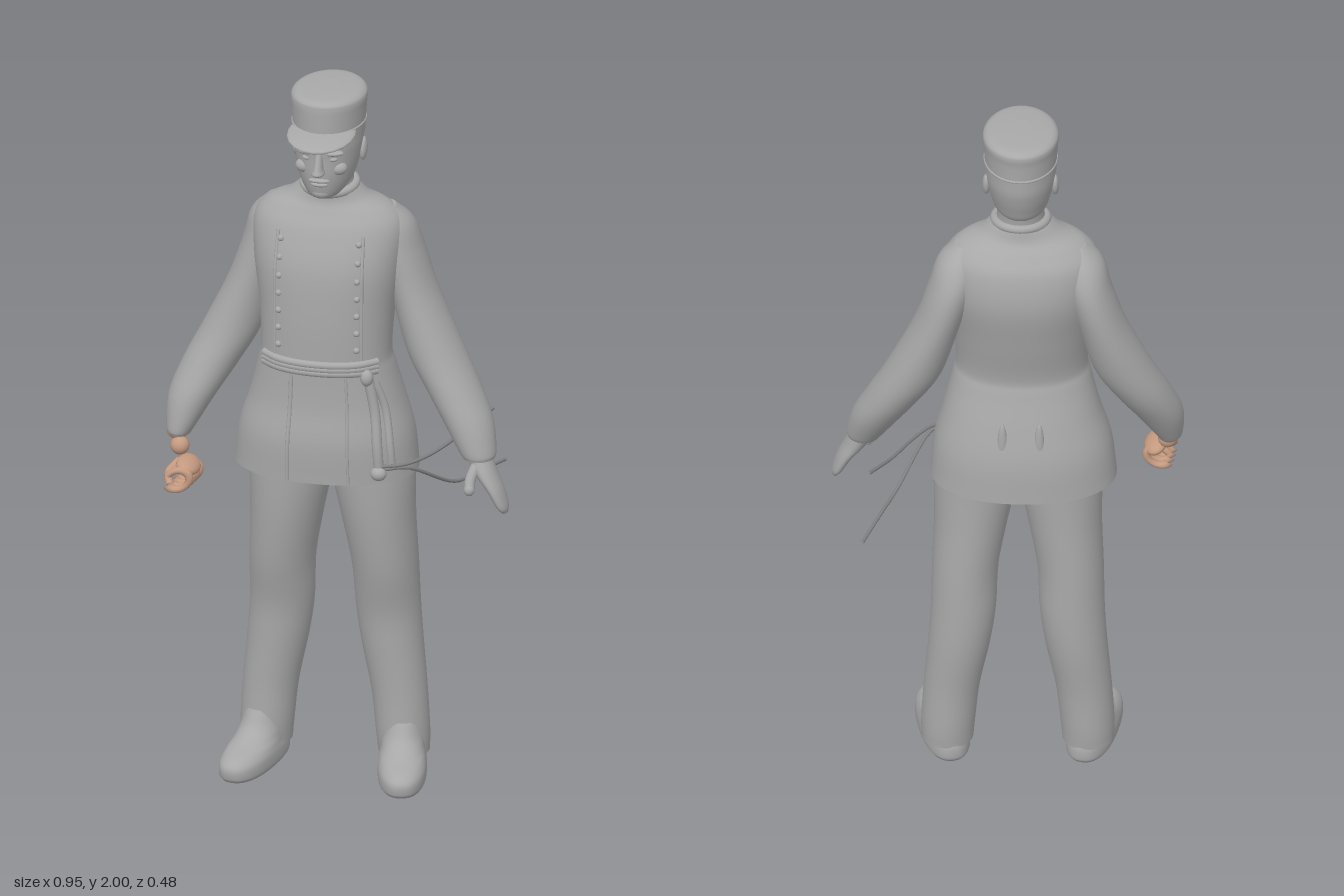
import * as THREE from 'three';

const CX = -0.04; // centre line of the body
const grey = new THREE.MeshStandardMaterial({ color: 0xa8a8a8 });
grey.name = 'uniform grey';
const steel = new THREE.MeshStandardMaterial({ color: 0x808080 });
steel.name = 'dark steel';
const skin = new THREE.MeshStandardMaterial({ color: 0xc49a80 });
skin.name = 'tan';

// Smooth skin over horizontal rings, listed upward: [x, y, z, rx, rz, roundness]
function loft(rings, sides = 40, sub = 5) {
  const smooth = (f) => new THREE.CatmullRomCurve3(rings.map(f), false, 'catmullrom', 0.5);
  const centre = smooth((r) => new THREE.Vector3(r[0], r[1], r[2]));
  const size = smooth((r) => new THREE.Vector3(r[3], r[4], r[5] || 2));
  const n = (rings.length - 1) * sub, pos = [], idx = [];
  const ring = (t) => {
    const c = centre.getPoint(t), s = size.getPoint(t);
    for (let j = 0; j < sides; j++) {
      const a = (j / sides) * Math.PI * 2, e = 2 / s.z;
      const p = (v) => Math.sign(v) * Math.abs(v) ** e;
      pos.push(c.x + s.x * p(Math.cos(a)), c.y, c.z + s.y * p(Math.sin(a)));
    }
    return c;
  };
  for (let i = 0; i <= n; i++) ring(i / n);
  for (let i = 0; i < n; i++) for (let j = 0; j < sides; j++) {
    const k = (j + 1) % sides, a = i * sides + j, b = i * sides + k;
    idx.push(a, a + sides, b, b, a + sides, b + sides);
  }
  for (const t of [0, 1]) { // end caps with their own vertices
    const start = pos.length / 3, c = ring(t), mid = pos.length / 3;
    pos.push(c.x, c.y, c.z);
    for (let j = 0; j < sides; j++) {
      const a = start + j, b = start + ((j + 1) % sides);
      if (t) idx.push(mid, b, a); else idx.push(mid, a, b);
    }
  }
  const g = new THREE.BufferGeometry();
  g.setAttribute('position', new THREE.Float32BufferAttribute(pos, 3));
  g.setIndex(idx);
  g.computeVertexNormals();
  return g;
}

const torsoRings = [
  [CX - 0.005, 0.89, 0.022, 0.252, 0.172, 2.2], [CX - 0.003, 1.0, 0.027, 0.24, 0.17, 2.2],
  [CX, 1.1, 0.032, 0.212, 0.152, 2.2], [CX, 1.2, 0.045, 0.187, 0.136, 2.2],
  [CX, 1.25, 0.05, 0.178, 0.134, 2.2], [CX, 1.37, 0.037, 0.185, 0.147, 2.2],
  [CX, 1.5, 0.02, 0.204, 0.154, 2.2], [CX, 1.6, 0.01, 0.208, 0.132, 2.1],
  [CX, 1.65, 0.012, 0.175, 0.103], [CX, 1.68, 0.018, 0.115, 0.082], [-0.037, 1.715, 0.022, 0.077, 0.076],
];

// Depth of the coat front at a given x and y
function frontZ(x, y) {
  let i = 0;
  while (i < torsoRings.length - 2 && torsoRings[i + 1][1] < y) i++;
  const t = THREE.MathUtils.clamp((y - torsoRings[i][1]) / (torsoRings[i + 1][1] - torsoRings[i][1]), 0, 1);
  const [cx, , cz, rx, rz] = torsoRings[i].map((v, k) => THREE.MathUtils.lerp(v, torsoRings[i + 1][k] ?? 2, t));
  return cz + rz * Math.max(0, 1 - Math.abs((x - cx) / rx) ** 2.2) ** (1 / 2.2);
}

export function createModel() {
  const model = new THREE.Group();
  const add = (name, geo, mat = grey) => {
    const m = new THREE.Mesh(geo, mat);
    m.name = name;
    model.add(m);
    return m;
  };
  const ball = (name, x, y, z, rx, ry, rz, mat) => {
    const m = add(name, new THREE.SphereGeometry(1, 20, 14), mat);
    m.position.set(x, y, z);
    m.scale.set(rx, ry, rz);
    return m;
  };
  const tube = (name, pts, r, mat, tension = 0.5) => add(name, new THREE.TubeGeometry(
    new THREE.CatmullRomCurve3(pts.map((p) => new THREE.Vector3(...p)), false, 'catmullrom', tension), 24, r, 10), mat);
  const onCoat = (name, pts, r, lift = 0) => tube(name, pts.map(([x, y]) => [x, y, frontZ(x, y) + lift]), r);

  // Coat with front seams, buttons, belt and skirt opening
  add('coat', loft(torsoRings, 64, 6));
  for (const s of [-1, 1]) {
    const x = CX + s * 0.12;
    onCoat('frontSeam', [[x, 1.25], [x, 1.33], [x, 1.42], [x, 1.5], [x * 0.98, 1.6]], 0.005);
    for (let i = 0; i < 7; i++) {
      const y = 1.28 + i * 0.05, bx = x - s * 0.012;
      ball('button', bx, y, frontZ(bx, y), 0.009, 0.009, 0.009);
    }
  }
  const beltPts = Array.from({ length: 9 }, (_, i) => [CX - 0.155 + i * 0.039, 1.225]);
  for (const dy of [-0.012, 0, 0.012]) onCoat('belt', beltPts.map(([x, y]) => [x, y + dy]), 0.011);
  onCoat('skirtOpening', [[-0.11, 1.2], [-0.113, 1.1], [-0.117, 1.0], [-0.118, 0.895]], 0.006);
  onCoat('skirtOpening', [[0.04, 1.2], [0.045, 1.1], [0.048, 1.0], [0.05, 0.895]], 0.004);
  for (const s of [-1, 1]) ball('backFlap', CX + s * 0.05, 1.05, -0.118, 0.014, 0.08, 0.012);
  const collar = add('collar', new THREE.TorusGeometry(0.07, 0.013, 10, 40));
  collar.rotation.x = Math.PI / 2 + 0.1;
  collar.position.set(-0.037, 1.712, 0.025);

  // Sleeves
  add('rightSleeve', loft([
    [-0.437, 0.965, 0.09, 0.03, 0.045], [-0.435, 0.985, 0.085, 0.04, 0.055], [-0.41, 1.07, 0.055, 0.065, 0.075],
    [-0.365, 1.16, 0.02, 0.077, 0.085], [-0.312, 1.26, -0.005, 0.08, 0.088], [-0.26, 1.4, -0.02, 0.066, 0.09],
    [-0.222, 1.52, -0.022, 0.063, 0.088], [-0.205, 1.6, -0.012, 0.057, 0.07], [-0.19, 1.65, 0, 0.025, 0.035],
  ]));
  add('leftSleeve', loft([
    [0.388, 0.965, 0.075, 0.044, 0.05], [0.382, 0.985, 0.07, 0.052, 0.058], [0.35, 1.06, 0.045, 0.068, 0.075],
    [0.305, 1.14, 0.02, 0.075, 0.085], [0.25, 1.24, -0.002, 0.078, 0.09], [0.188, 1.4, -0.02, 0.064, 0.09],
    [0.15, 1.52, -0.022, 0.063, 0.088], [0.13, 1.6, -0.012, 0.057, 0.07], [0.115, 1.65, 0, 0.025, 0.035],
  ]));

  // Left hand, open
  add('leftHand', loft([
    [0.466, 0.82, 0.1, 0.008, 0.02], [0.458, 0.84, 0.1, 0.016, 0.036], [0.438, 0.885, 0.097, 0.022, 0.045],
    [0.41, 0.93, 0.09, 0.03, 0.046], [0.388, 0.975, 0.078, 0.033, 0.042],
  ], 24));
  tube('leftThumb', [[0.39, 0.955, 0.11], [0.378, 0.92, 0.135], [0.378, 0.895, 0.15]], 0.015);
  ball('leftThumbTip', 0.378, 0.895, 0.15, 0.015, 0.017, 0.015);

  // Right hand, curled around an empty grip
  ball('rightWrist', -0.443, 0.97, 0.095, 0.03, 0.026, 0.03, skin);
  ball('rightWrist', -0.432, 0.933, 0.115, 0.026, 0.026, 0.026, skin);
  ball('rightPalm', -0.4, 0.894, 0.15, 0.034, 0.02, 0.055, skin).rotation.z = -0.4;
  for (let i = 0; i < 4; i++) {
    const f = add('rightFinger', new THREE.TorusGeometry(0.033, 0.0115, 10, 24, 5.2), skin);
    f.position.set(-0.408 - i * 0.004, 0.866, 0.125 + i * 0.024);
    f.rotation.z = -2.6;
    f.scale.set(1.05, 0.8, 1);
  }
  tube('rightThumb', [[-0.425, 0.905, 0.15], [-0.448, 0.88, 0.18], [-0.44, 0.855, 0.205]], 0.011, skin);

  // Trousers and shoes
  for (const s of [-1, 1]) {
    const side = s < 0 ? 'right' : 'left', px = (x) => -0.03 + s * x;
    add(side + 'Trouser', loft([
      [px(0.19), 0.045, -0.012, 0.07, 0.074], [px(0.188), 0.1, -0.01, 0.073, 0.08], [px(0.178), 0.22, -0.012, 0.076, 0.08],
      [px(0.158), 0.36, -0.015, 0.084, 0.088], [px(0.147), 0.47, -0.012, 0.088, 0.093],
      [px(0.142), 0.6, 0.003, 0.09, 0.106], [px(0.127), 0.74, 0.015, 0.1, 0.114],
      [px(0.115), 0.86, 0.02, 0.113, 0.118], [px(0.11), 0.94, 0.02, 0.115, 0.12],
    ]));
    const shoe = add(side + 'Shoe', loft([
      [0, 0, 0.075, 0.06, 0.155, 2.4], [0, 0.012, 0.075, 0.066, 0.163, 2.4], [0, 0.04, 0.075, 0.066, 0.163, 2.3],
      [0, 0.06, 0.065, 0.062, 0.148], [0, 0.078, 0.035, 0.058, 0.115], [0, 0.105, 0.012, 0.056, 0.088], [0, 0.15, 0, 0.05, 0.07],
    ]));
    shoe.position.x = px(0.19);
    shoe.rotation.y = s * 0.2;
  }

  // Head: neck, skull and face
  const hx = -0.037;
  add('neck', loft([[hx, 1.66, 0.02, 0.07, 0.07], [hx, 1.72, 0.025, 0.065, 0.07], [hx, 1.79, 0.02, 0.065, 0.075]], 32));
  add('head', loft([
    [hx, 1.705, 0.095, 0.025, 0.03], [hx, 1.715, 0.085, 0.045, 0.06], [hx, 1.745, 0.055, 0.069, 0.1],
    [hx, 1.785, 0.047, 0.082, 0.114], [hx, 1.83, 0.04, 0.091, 0.122], [hx, 1.865, 0.038, 0.094, 0.126], [hx, 1.92, 0.035, 0.093, 0.122],
  ], 40));
  add('nose', loft([
    [hx, 1.786, 0.16, 0.01, 0.014], [hx, 1.795, 0.168, 0.018, 0.025], [hx, 1.81, 0.164, 0.014, 0.024], [hx, 1.85, 0.155, 0.01, 0.016],
  ], 20));
  ball('chin', hx, 1.728, 0.132, 0.028, 0.02, 0.02);
  ball('upperLip', hx, 1.77, 0.156, 0.03, 0.007, 0.012);
  ball('lowerLip', hx, 1.757, 0.152, 0.024, 0.007, 0.012);
  for (const s of [-1, 1]) {
    ball('brow', hx + s * 0.037, 1.85, 0.147, 0.03, 0.008, 0.015).rotation.z = s * 0.1;
    ball('eye', hx + s * 0.035, 1.832, 0.145, 0.014, 0.007, 0.012);
    ball('cheek', hx + s * 0.046, 1.8, 0.127, 0.026, 0.02, 0.022);
    ball('ear', hx + s * 0.093, 1.82, 0.025, 0.011, 0.033, 0.02).rotation.x = -0.2;
  }

  // Cap with band and visor
  add('cap', loft([
    [hx, 1.868, 0.033, 0.096, 0.125], [hx, 1.905, 0.033, 0.098, 0.126], [hx, 1.95, 0.032, 0.101, 0.127],
    [hx, 1.975, 0.03, 0.103, 0.128], [hx, 1.988, 0.03, 0.098, 0.124], [hx, 1.996, 0.03, 0.08, 0.104], [hx, 2.0, 0.03, 0.03, 0.04],
  ], 48));
  const band = add('capBand', new THREE.TorusGeometry(1, 0.035, 8, 48));
  band.rotation.x = Math.PI / 2;
  band.scale.set(0.098, 0.126, 0.1);
  band.position.set(hx, 1.905, 0.033);
  ball('visor', hx, 1.897, 0.125, 0.094, 0.015, 0.113).rotation.x = 0.12;

  // Sword hanger and slender rods at the left hip
  onCoat('hangerStrap', [[0.095, 1.21], [0.115, 1.1], [0.125, 1.0], [0.13, 0.92]], 0.014, 0.004);
  onCoat('hangerStrap', [[0.115, 1.18], [0.14, 1.1], [0.155, 1.0], [0.16, 0.93]], 0.011, 0.004);
  ball('hangerKnot', 0.13, 0.925, 0.165, 0.022, 0.02, 0.02);
  ball('hangerKnot', 0.095, 1.2, 0.155, 0.018, 0.024, 0.018);
  tube('upperRod', [[0.13, 0.945, 0.165], [0.2, 0.95, 0.14], [0.255, 0.955, 0.065], [0.31, 0.97, -0.05], [0.37, 1.0, -0.17]], 0.005, steel);
  tube('lowerRod', [[0.13, 0.935, 0.165], [0.21, 0.935, 0.13], [0.295, 0.845, -0.01], [0.34, 0.832, -0.12], [0.387, 0.82, -0.24]], 0.005, steel);
  return model;
}
